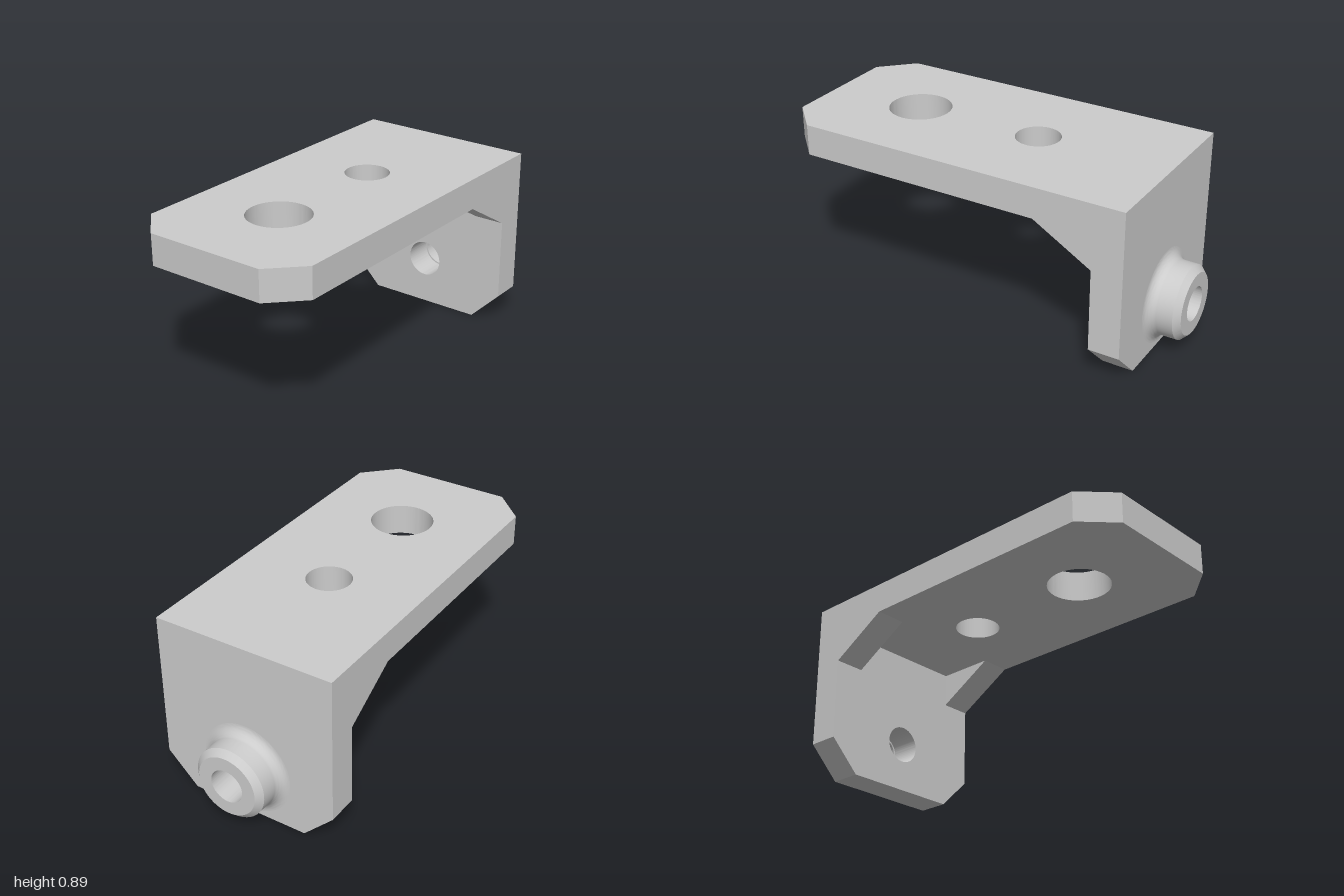
import * as THREE from 'three';
import { toCreasedNormals } from 'three/addons/utils/BufferGeometryUtils.js';

const W = 0.46;       // half width
const T = 0.155;      // sheet thickness, also the corner cut
const TOP = 0.895;
const BACK = -0.845;
const UNDER = TOP - T;
const HOLE_Y = 0.247;

const material = new THREE.MeshStandardMaterial({ color: 0xcccccc });

function polygon(points) {
  return new THREE.Shape(points.map(([x, y]) => new THREE.Vector2(x, y)));
}

function addHole(shape, y, r) {
  const hole = new THREE.Path();
  hole.absarc(0, y, r, 0, Math.PI * 2, true);
  shape.holes.push(hole);
}

function extrude(shape) {
  return new THREE.ExtrudeGeometry(shape, { depth: T, bevelEnabled: false, curveSegments: 64 });
}

export function createModel() {
  const group = new THREE.Group();
  const add = (name, geometry) => {
    const mesh = new THREE.Mesh(toCreasedNormals(geometry, 0.5), material);
    mesh.name = name;
    group.add(mesh);
  };

  // Horizontal plate with cut front corners and two holes
  const plate = polygon([[-W, BACK], [W, BACK], [W, 1 - T], [W - T, 1], [T - W, 1], [-W, 1 - T]]);
  addHole(plate, -0.16, 0.11);
  addHole(plate, 0.505, 0.155);
  add('topPlate', extrude(plate).rotateX(Math.PI / 2).translate(0, TOP, 0));

  // Vertical back wall with cut lower corners
  const wall = polygon([[T - W, 0], [W - T, 0], [W, T], [W, UNDER], [-W, UNDER], [-W, T]]);
  addHole(wall, HOLE_Y, 0.093);
  add('backWall', extrude(wall).translate(0, 0, BACK));

  // Triangular gussets at both sides of the inner corner
  const gusset = polygon([[BACK + T, 0.567], [-0.395, UNDER], [BACK + T, UNDER]]);
  for (const [name, x] of [['leftGusset', W], ['rightGusset', T - W]]) {
    add(name, extrude(gusset).rotateY(-Math.PI / 2).translate(x, 0, 0));
  }

  // Hollow boss on the back: filleted foot, chamfered rim, narrower bore
  const bore = 0.085, outer = 0.183, fillet = 0.052, height = 1 + BACK;
  const profile = [new THREE.Vector2(bore, 0)];
  for (let i = 0; i <= 12; i++) {
    const a = (i / 12) * Math.PI / 2;
    profile.push(new THREE.Vector2(outer + fillet * (1 - Math.sin(a)), fillet * (1 - Math.cos(a))));
  }
  profile.push(
    new THREE.Vector2(outer, height - 0.03),
    new THREE.Vector2(outer - 0.03, height),
    new THREE.Vector2(bore, height),
    new THREE.Vector2(bore, 0)
  );
  add('boss', new THREE.LatheGeometry(profile, 96).rotateX(-Math.PI / 2).translate(0, HOLE_Y, BACK));

  return group;
}
